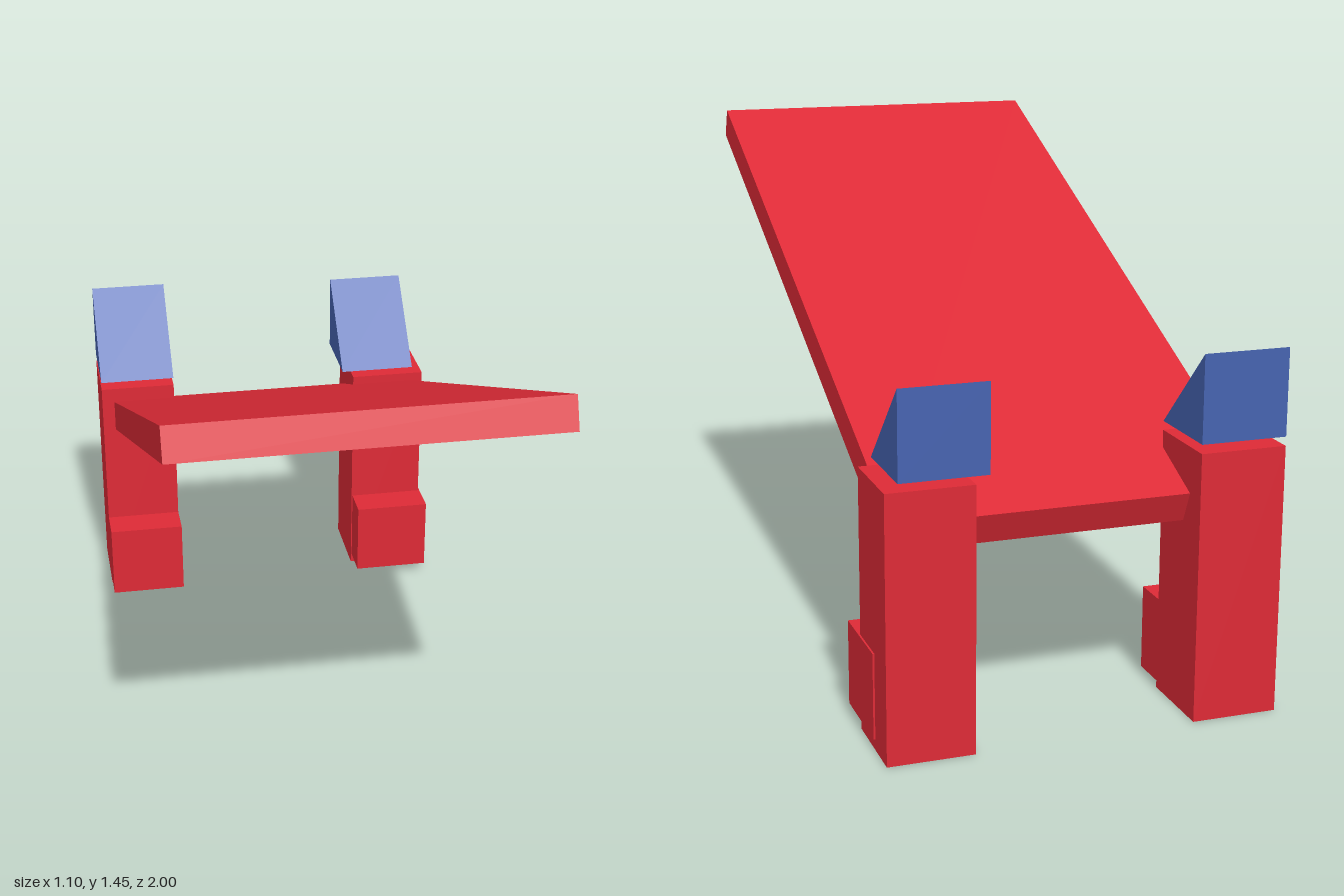
import * as THREE from 'three';

const red = new THREE.MeshStandardMaterial({ color: 0xdd2a36, flatShading: true });
const blue = new THREE.MeshStandardMaterial({ color: 0x4663b0, flatShading: true });

// Box given by its limits on each axis
function box(name, [x0, x1], [y0, y1], [z0, z1], material) {
  const mesh = new THREE.Mesh(new THREE.BoxGeometry(x1 - x0, y1 - y0, z1 - z0), material);
  mesh.position.set((x0 + x1) / 2, (y0 + y1) / 2, (z0 + z1) / 2);
  mesh.name = name;
  return mesh;
}

// Prism with a side profile of [z, y] points, running from x0 to x1
function prism(name, profile, [x0, x1], material) {
  const shape = new THREE.Shape(profile.map(([z, y]) => new THREE.Vector2(z, y)));
  const geometry = new THREE.ExtrudeGeometry(shape, { depth: x1 - x0, bevelEnabled: false });
  geometry.rotateY(-Math.PI / 2).translate(x1, 0, 0);
  const mesh = new THREE.Mesh(geometry, material);
  mesh.name = name;
  return mesh;
}

export function createModel() {
  const model = new THREE.Group();
  model.name = 'slopedBoardOnLegs';

  // Long board rising towards the front
  model.add(prism('board', [[1, 1.365], [0.965, 1.45], [-0.937, 0.62], [-0.9, 0.535]], [-0.51, 0.505], red));

  // Slightly uneven pair of legs, each with a foot block and a wedge floating just above
  const sides = [
    { side: 'right', leg: [-0.55, -0.31], top: 0.745, foot: [-0.55, -0.31], footY: [0.02, 0.26], wedge: [-0.55, -0.31], wedgeY: 0.77 },
    { side: 'left', leg: [0.302, 0.54], top: 0.725, foot: [0.305, 0.545], footY: [0.03, 0.267], wedge: [0.265, 0.505], wedgeY: 0.747 },
  ];
  for (const s of sides) {
    model.add(
      box(s.side + 'Leg', s.leg, [0, s.top], [-1, -0.76], red),
      box(s.side + 'Foot', s.foot, s.footY, [-0.895, -0.655], red),
      prism(s.side + 'Wedge', [[-0.76, s.wedgeY], [-1, s.wedgeY + 0.24], [-1, s.wedgeY]], s.wedge, blue),
    );
  }
  return model;
}
